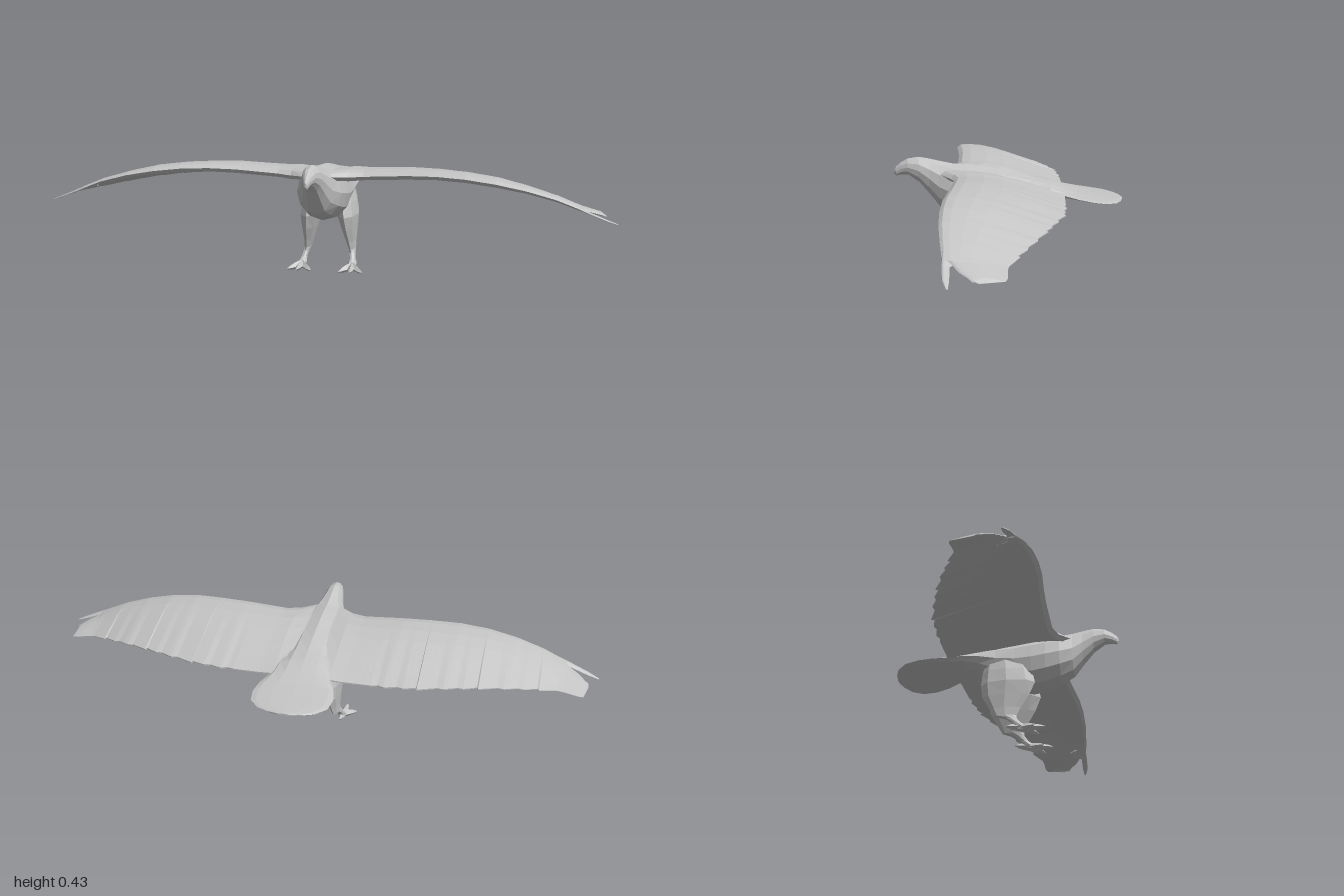
import * as THREE from 'three';

const plumage = new THREE.MeshStandardMaterial({ color: 0xc4c4c4 });
plumage.name = 'plumage grey';

// Closed faceted skin over rings of equal point count; always faces outward.
function loft(name, rings) {
  const n = rings[0].length, pos = rings.flat(2), tris = [];
  const centre = (r) => [0, 1, 2].map((k) => r.reduce((s, p) => s + p[k], 0) / n);
  for (let i = 0; i < rings.length - 1; i++) {
    for (let j = 0; j < n; j++) {
      const a = i * n + j, b = i * n + (j + 1) % n;
      tris.push([a, b, b + n], [a, b + n, a + n]);
    }
  }
  const first = rings.length * n, end = (rings.length - 1) * n;
  pos.push(...centre(rings[0]), ...centre(rings[rings.length - 1]));
  for (let j = 0; j < n; j++) {
    tris.push([first, (j + 1) % n, j], [first + 1, end + j, end + (j + 1) % n]);
  }
  const v = (i) => new THREE.Vector3().fromArray(pos, i * 3);
  const volume = tris.reduce((s, [a, b, c]) => s + v(a).dot(v(b).cross(v(c))), 0);
  const index = tris.flatMap(([a, b, c]) => (volume < 0 ? [a, c, b] : [a, b, c]));
  const g = new THREE.BufferGeometry();
  g.setAttribute('position', new THREE.Float32BufferAttribute(pos, 3));
  g.setIndex(index);
  const flat = g.toNonIndexed();
  flat.computeVertexNormals();
  const mesh = new THREE.Mesh(flat, plumage);
  mesh.name = name;
  return mesh;
}

// Ring of n points from a function of angle.
const ring = (n, f) => Array.from({ length: n }, (_, i) => f((i / n) * Math.PI * 2));

// Linear interpolation in a table keyed by its first column.
function sample(table, x) {
  let i = 1;
  while (i < table.length - 1 && table[i][0] < x) i++;
  const a = table[i - 1], b = table[i], t = (x - a[0]) / (b[0] - a[0]);
  return a.map((p, k) => p + (b[k] - p) * t);
}

// Head, breast and fan tail: z, top, bottom, half width
const BODY = [
  [0.41, 0.381, 0.366, 0.003], [0.403, 0.391, 0.357, 0.009], [0.385, 0.406, 0.362, 0.015],
  [0.36, 0.42, 0.362, 0.024], [0.32, 0.426, 0.335, 0.034], [0.28, 0.419, 0.288, 0.044],
  [0.245, 0.411, 0.243, 0.058], [0.2, 0.402, 0.219, 0.078], [0.15, 0.399, 0.2, 0.087],
  [0.1, 0.393, 0.19, 0.09], [0.04, 0.383, 0.195, 0.09], [-0.03, 0.369, 0.225, 0.09],
  [-0.09, 0.354, 0.262, 0.093], [-0.15, 0.341, 0.282, 0.1], [-0.2, 0.322, 0.287, 0.108],
  [-0.25, 0.306, 0.284, 0.13], [-0.3, 0.296, 0.278, 0.14], [-0.35, 0.289, 0.272, 0.132],
  [-0.385, 0.284, 0.27, 0.098], [-0.402, 0.282, 0.271, 0.058], [-0.41, 0.28, 0.273, 0.02],
];

// Wing outline: x, leading z, trailing z, leading y, trailing y, camber
const WING = [
  [0, 0.25, -0.2, 0.372, 0.31, 0.9], [0.05, 0.24, -0.2, 0.37, 0.308, 1],
  [0.1, 0.203, -0.2, 0.365, 0.305, 1.2], [0.15, 0.188, -0.198, 0.367, 0.302, 1.1],
  [0.3, 0.19, -0.195, 0.376, 0.301, 1.1], [0.4, 0.196, -0.182, 0.378, 0.302, 1],
  [0.5, 0.206, -0.155, 0.374, 0.301, 0.95], [0.6, 0.21, -0.118, 0.362, 0.297, 0.9],
  [0.7, 0.207, -0.08, 0.343, 0.288, 0.7], [0.8, 0.197, -0.03, 0.315, 0.272, 0.55],
  [0.88, 0.186, 0, 0.283, 0.257, 0.4], [0.886, 0.163, 0, 0.278, 0.256, 0.35],
  [0.93, 0.135, 0, 0.262, 0.247, 0.25], [0.95, 0.112, 0.006, 0.253, 0.243, 0.2],
  [0.965, 0.1, 0.08, 0.245, 0.241, 0.15],
];
const LEAD_FEATHER = [
  [0.84, 0.188, 0.12, 0.3, 0.28, 0.3], [0.9, 0.187, 0.164, 0.274, 0.27, 0.2],
  [0.96, 0.183, 0.162, 0.25, 0.248, 0.15], [1, 0.17, 0.164, 0.235, 0.235, 0.08],
];
// Section: chord fraction, height above the chord line
const AIRFOIL = [
  [0, 0], [0.04, 0.014], [0.12, 0.023], [0.28, 0.03], [0.45, 0.029], [0.65, 0.02], [0.85, 0.009],
  [1, 0.002], [1, -0.002], [0.85, 0.002], [0.65, 0.008], [0.45, 0.012], [0.28, 0.01],
  [0.12, -0.003], [0.04, -0.011],
];
const wingRing = ([x, zl, zt, yl, yt, k], side) => AIRFOIL.map(([u, h]) =>
  [side * x, yl + (yt - yl) * u + h * k, zl + (zt - zl) * u]);

function makeWing(side) {
  const wing = new THREE.Group();
  wing.name = side > 0 ? 'leftWing' : 'rightWing';
  // Stations with a ragged feather step along the trailing edge
  const xs = new Set(WING.map((r) => r[0]));
  for (let x = 0.2; x < 0.875; x += 0.022) xs.add(x);
  const rings = [...xs].sort((a, b) => a - b).map((x) => {
    const row = sample(WING, x);
    if (x > 0.25 && x < 0.88) row[2] += 0.012 * (((x * 15) % 1) - 0.5);
    return wingRing(row, side);
  });
  wing.add(loft('wingSurface', rings));
  wing.add(loft('leadFeather', LEAD_FEATHER.map((r) => wingRing(r, side))));
  return wing;
}

// Leg: y, front z, back z, inner x, outer x
const LEG = [
  [0.3, 0.08, -0.07, 0.03, 0.085], [0.25, 0.1, -0.08, 0.025, 0.098],
  [0.2, 0.111, -0.085, 0.031, 0.105], [0.15, 0.09, -0.078, 0.045, 0.1],
  [0.1, 0.06, -0.05, 0.06, 0.095], [0.07, 0.046, -0.034, 0.069, 0.094],
  [0.058, 0.047, 0.005, 0.073, 0.096], [0.04, 0.06, 0.03, 0.078, 0.1],
  [0.022, 0.085, 0.045, 0.076, 0.106], [0.008, 0.09, 0.05, 0.08, 0.104],
];
// Toe tips: x, y, z
const TOES = [[0.096, 0.014, 0.15], [0.05, 0.006, 0.122], [0.136, 0.006, 0.118], [0.092, 0.026, 0.01]];

function makeLeg(side) {
  const leg = new THREE.Group();
  leg.name = side > 0 ? 'leftLeg' : 'rightLeg';
  leg.add(loft('thighAndShank', LEG.map(([y, zf, zb, xi, xo]) => ring(8, (a) => [
    side * ((xi + xo) / 2 + Math.cos(a) * (xo - xi) / 2), y, (zf + zb) / 2 + Math.sin(a) * (zf - zb) / 2,
  ]))));
  // Tapered toes, each ending in a pointed claw
  TOES.forEach(([x, y, z]) => {
    const dx = x - 0.092, dz = z - 0.07, len = Math.hypot(dx, dz);
    const rings = [[0, 0.013, 0.013], [0.5, 0.011, 0.01], [0.75, 0.008, 0.007], [1, 0.001, 0.001]]
      .map(([t, w, h]) => ring(4, (a) => [
        side * (0.092 + dx * t + Math.cos(a) * w * dz / len),
        Math.max(0, 0.016 + (y - 0.016) * t + Math.sin(a) * h * 1.25),
        0.07 + dz * t - Math.cos(a) * w * dx / len,
      ]));
    leg.add(loft('toe', rings));
  });
  return leg;
}

export function createModel() {
  const bird = new THREE.Group();
  bird.name = 'bird';
  bird.add(loft('bodyAndTail', BODY.map(([z, top, bottom, w]) => ring(12, (a) => [
    Math.cos(a) * w, (top + bottom) / 2 + Math.sin(a) * (top - bottom) / 2, z,
  ]))));
  for (const side of [1, -1]) bird.add(makeWing(side), makeLeg(side));
  return bird;
}
